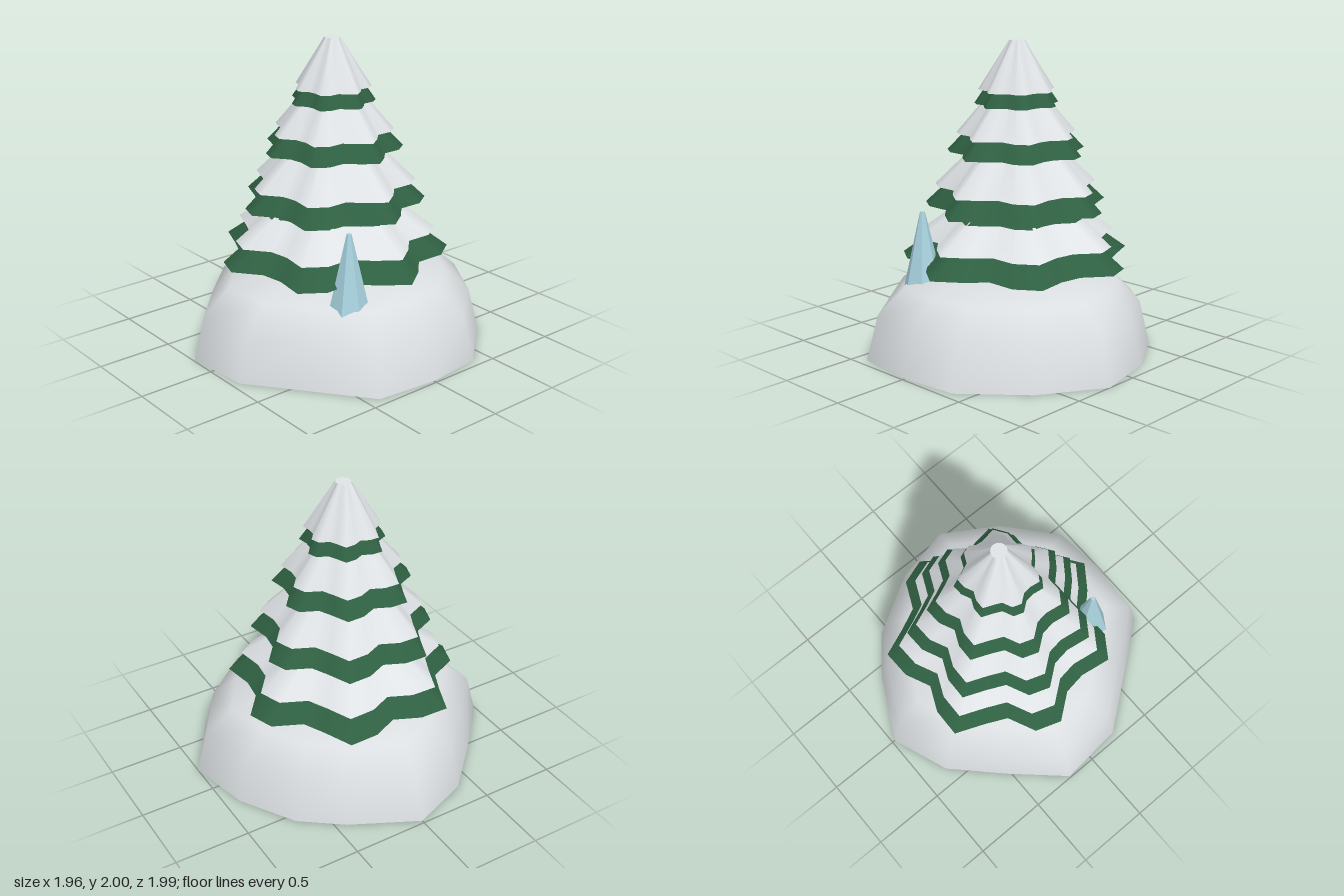
import * as THREE from 'three';

const material = (name, color, side = THREE.FrontSide) => {
  const m = new THREE.MeshStandardMaterial({ color, side });
  m.name = name;
  return m;
};

// Skin closed rings of points from bottom to top, with optional flat caps
function loft(rings, capBottom, capTop) {
  const n = rings[0].length, pos = [], idx = [];
  rings.forEach(r => r.forEach(p => pos.push(...p)));
  for (let k = 0; k < rings.length - 1; k++) {
    for (let i = 0; i < n; i++) {
      const a = k * n + i, b = k * n + (i + 1) % n;
      idx.push(a, a + n, b, b, a + n, b + n);
    }
  }
  const cap = (ring, up) => {
    const start = pos.length / 3;
    ring.forEach(p => pos.push(...p));
    const c = [0, 1, 2].map(j => ring.reduce((s, p) => s + p[j], 0) / n);
    pos.push(...c);
    for (let i = 0; i < n; i++) {
      const a = start + i, b = start + (i + 1) % n;
      idx.push(...(up ? [a, start + n, b] : [a, b, start + n]));
    }
  };
  if (capBottom) cap(rings[0], false);
  if (capTop) cap(rings[rings.length - 1], true);
  const g = new THREE.BufferGeometry();
  g.setAttribute('position', new THREE.Float32BufferAttribute(pos, 3));
  g.setIndex(idx);
  g.computeVertexNormals();
  return g;
}

// Seven-pointed wavy ring: mean radius r, wave height wave
function starRing(y, r, wave) {
  return Array.from({ length: 26 }, (_, i) => {
    const t = i / 26 * Math.PI * 2;
    const d = r + wave * Math.cos(7 * t);
    return [d * Math.cos(t), y, d * Math.sin(t)];
  });
}

export function createModel() {
  const model = new THREE.Group();
  const snow = material('snow', 0xdfe3e6);
  const moundSnow = material('mound snow', 0xdadee0, THREE.DoubleSide);
  const green = material('needles', 0x2f6042);
  const bark = material('bark', 0x7c573c);
  const ice = material('ice', 0xa8d2de);
  const add = (name, geometry, mat, parent = model) => {
    const mesh = new THREE.Mesh(geometry, mat);
    mesh.name = name;
    parent.add(mesh);
    return mesh;
  };

  // Hollow snow mound, one irregular outline shrinking upwards
  const outline = [
    [0.98, 0], [0.94, 0.41], [0.59, 0.68], [0.24, 0.95], [-0.2, 0.99], [-0.53, 0.69], [-0.83, 0.39],
    [-0.98, 0], [-0.76, -0.43], [-0.56, -0.69], [-0.2, -0.905], [0.22, -1], [0.62, -0.75], [0.94, -0.38],
  ];
  const moundRings = [[0, 1], [0.29, 0.925], [0.45, 0.75], [0.52, 0.45], [0.522, 0.02]]
    .map(([y, s]) => outline.map(([x, z]) => [x * s, y, z * s]));
  add('snowMound', loft(moundRings, false, true), moundSnow);

  // Tree: trunk and four tiers, each a green skirt under a snow shell
  const tree = new THREE.Group();
  tree.name = 'tree';
  tree.position.x = -0.015;
  model.add(tree);
  add('trunk', new THREE.CylinderGeometry(0.12, 0.165, 0.3, 10), bark, tree).position.y = 0.5;

  const tiers = [
    { y: 0.575, r: 0.69, snowY: 0.71, snowR: 0.61, topY: 1.15, topR: 0.09 },
    { y: 0.925, r: 0.547, snowY: 1.05, snowR: 0.488, topY: 1.5, topR: 0.09 },
    { y: 1.28, r: 0.413, snowY: 1.395, snowR: 0.358, topY: 1.76, topR: 0.09 },
    { y: 1.59, r: 0.25, snowY: 1.68, snowR: 0.226, topY: 2, topR: 0.05 },
  ];
  tiers.forEach((t, i) => {
    const tier = new THREE.Group();
    tier.name = 'tier' + (i + 1);
    tree.add(tier);
    add('needleSkirt', loft([
      starRing(t.y, t.r, t.r * 0.125),
      starRing(t.topY - 0.03, t.topR * 0.4, 0),
    ], true, true), green, tier);
    add('snowCover', loft([
      starRing(t.snowY, t.snowR, t.snowR * 0.125),
      starRing(t.topY, t.topR, 0),
    ], true, true), snow, tier);
  });

  // Thin green band showing through the lowest snow cover
  const low = tiers[0];
  const bandRing = y => {
    const k = (y - low.snowY) / (low.topY - low.snowY);
    return starRing(y, THREE.MathUtils.lerp(low.snowR, low.topR, k) + 0.004, low.snowR * 0.125 * (1 - k));
  };
  add('needleBand', loft([bandRing(0.872), bandRing(0.903)], false, false), green, tree);

  // Faceted ice spike standing in the mound
  const spike = new THREE.CylinderGeometry(0.016, 0.143, 0.55, 7).toNonIndexed();
  spike.computeVertexNormals();
  const spikeMesh = add('iceSpike', spike, ice);
  spikeMesh.position.set(0.53, 0.645, 0.315);
  spikeMesh.rotation.y = 1.43;

  return model;
}
